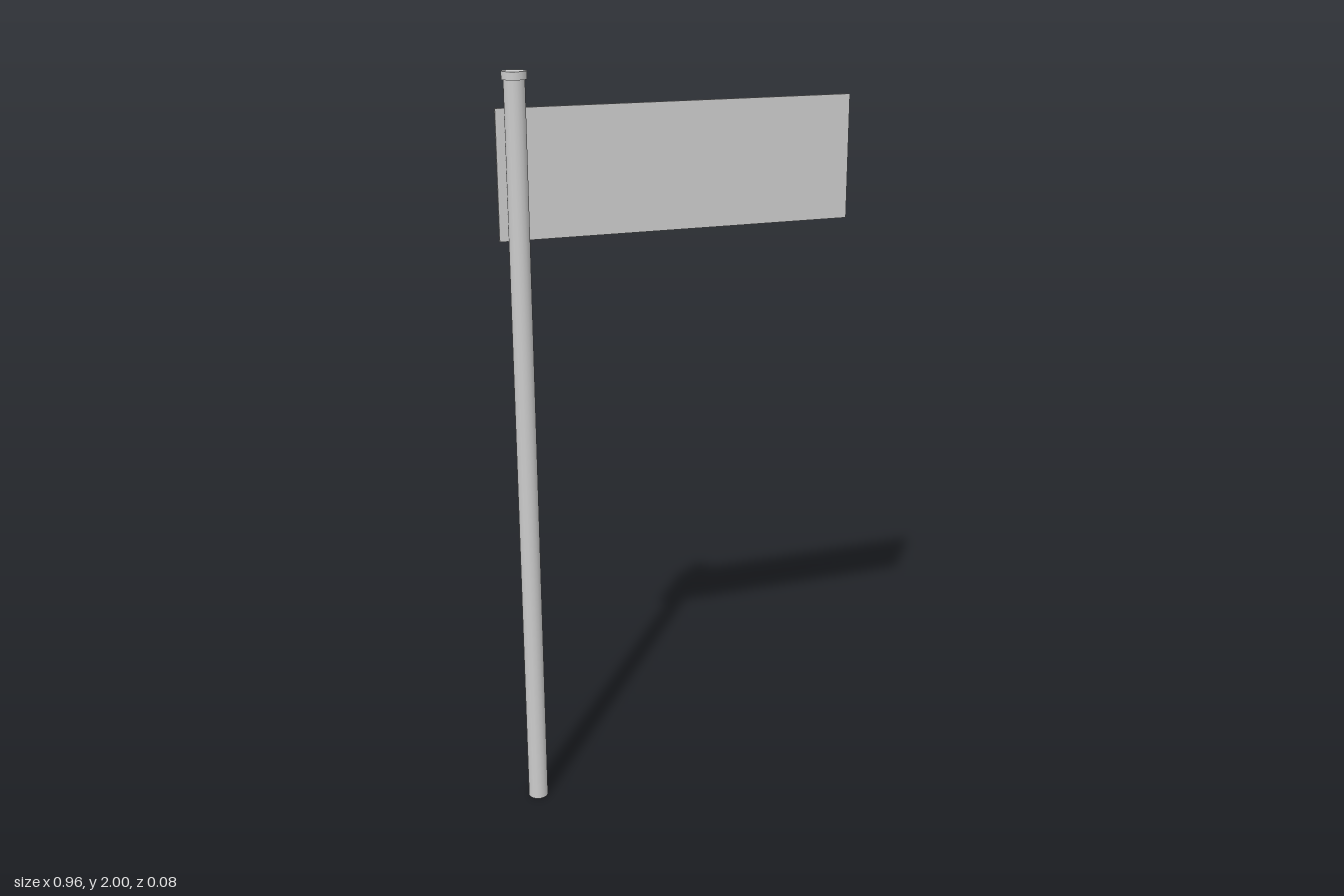
import * as THREE from 'three';

export function createModel() {
  const group = new THREE.Group();
  const metal = new THREE.MeshStandardMaterial({ color: 0xcccccc });
  metal.name = 'grey metal';

  const add = (name, geometry, x, y, z) => {
    const mesh = new THREE.Mesh(geometry, metal);
    mesh.name = name;
    mesh.position.set(x, y, z);
    group.add(mesh);
  };

  // Round post with a slightly wider cap
  const postX = -0.437, postZ = 0.007;
  add('post', new THREE.CylinderGeometry(0.027, 0.027, 1.98, 16), postX, 0.99, postZ);
  add('postCap', new THREE.CylinderGeometry(0.032, 0.032, 0.02, 16), postX, 1.99, postZ);

  // Sign: thin front plate with a slightly smaller backing panel
  add('signPlate', new THREE.BoxGeometry(0.962, 0.33, 0.006), 0, 1.744, -0.022);
  add('signBacking', new THREE.BoxGeometry(0.948, 0.318, 0.014), 0, 1.744, -0.032);

  return group;
}
